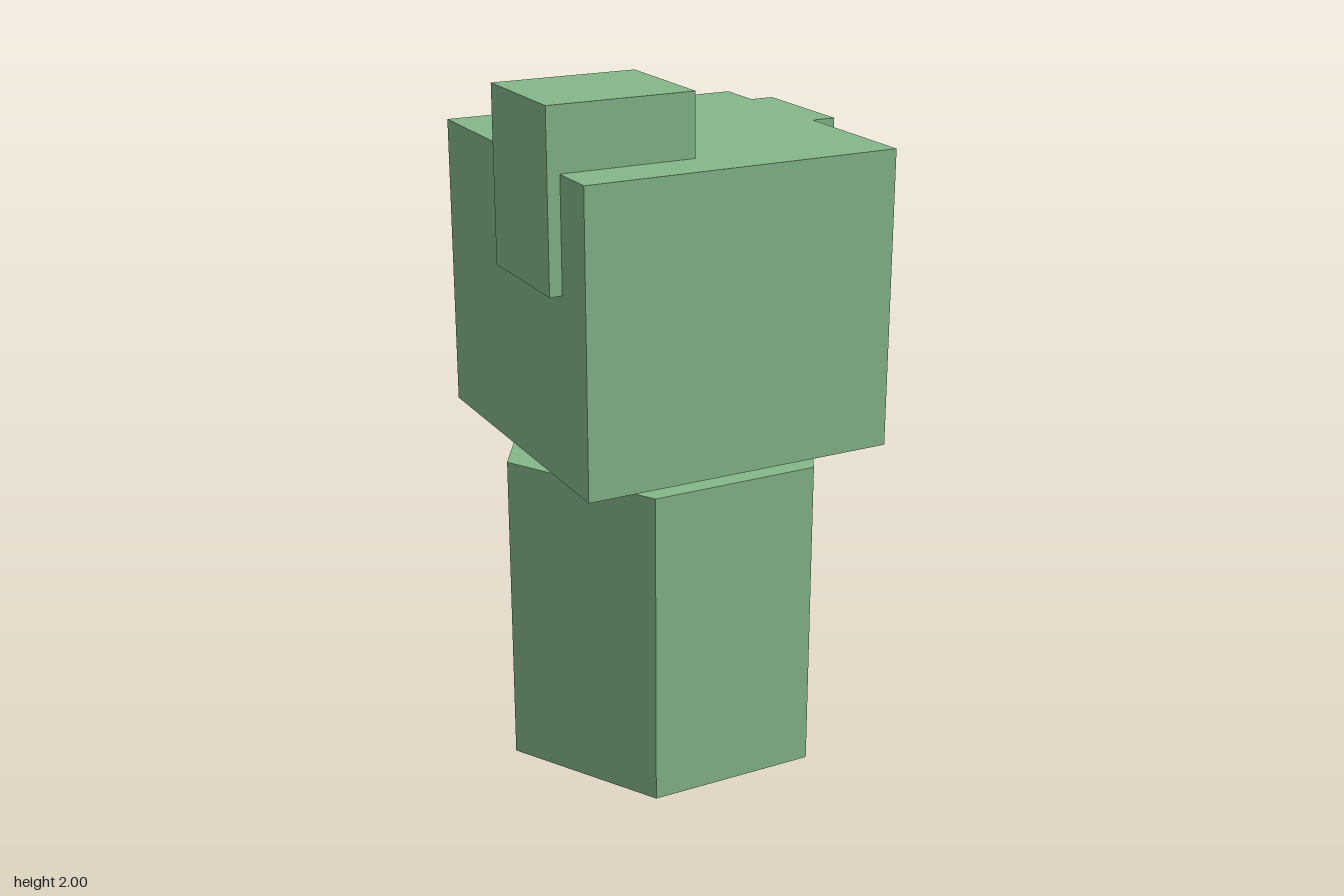
import * as THREE from 'three';

export function createModel() {
  const model = new THREE.Group();
  model.name = 'blockTree';
  const green = new THREE.MeshStandardMaterial({ color: 0x86b88a, flatShading: true });

  const add = (name, geometry, x, y, z) => {
    const mesh = new THREE.Mesh(geometry, green);
    mesh.name = name;
    mesh.position.set(x, y, z);
    model.add(mesh);
    return mesh;
  };

  // Box given by its limits on each axis
  const block = (name, [x0, x1], [y0, y1], [z0, z1]) =>
    add(name, new THREE.BoxGeometry(x1 - x0, y1 - y0, z1 - z0),
      (x0 + x1) / 2, (y0 + y1) / 2, (z0 + z1) / 2);

  // Six-sided trunk with corners pointing left and right
  const trunk = new THREE.CylinderGeometry(0.5, 0.5, 0.93, 6).rotateY(Math.PI / 6);
  add('trunk', trunk, -0.02, 0.465, 0);

  // Crown floats just above the trunk
  block('crown', [-0.482, 0.444], [0.97, 1.822], [-0.463, 0.463]);

  // Raised block on the crown's right, and a flush block on its left side
  block('upperLeafBlock', [-0.518, -0.092], [1.5, 2], [-0.035, 0.32]);
  block('sideLeafBlock', [0.444, 0.516], [1.396, 1.822], [-0.32, 0.035]);

  return model;
}
